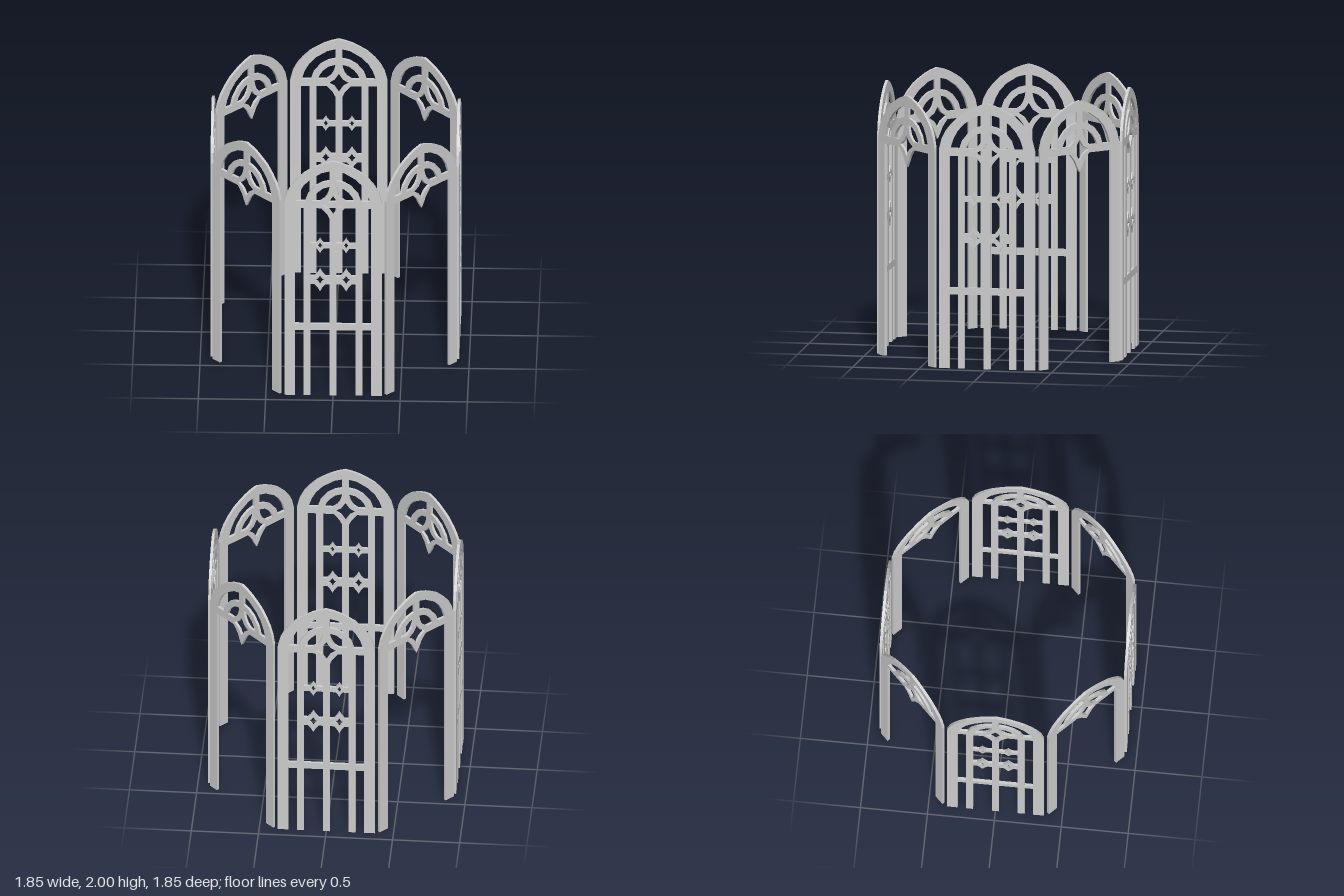
import * as THREE from 'three';

const THICK = 0.021, APOTHEM = 0.914;
const vec = pts => pts.map(([x, y]) => new THREE.Vector2(x, y));
const flip = pts => pts.map(([x, y]) => [-x, y]);

// Right half of the slightly pointed outer arch, apex to springing
const ARCH = [[0, 2], [0.055, 1.985], [0.106, 1.965], [0.165, 1.932], [0.215, 1.9], [0.27, 1.845], [0.312, 1.79], [0.342, 1.73], [0.362, 1.65]];
// Lower curve of the large star, bar to tip
const STAR_LOW = [[0.088, 1.6], [0.062, 1.57], [0.042, 1.544], [0.026, 1.508]];

// Tracery openings right of the centre line
const ARCH_GAP = [[0.025, 1.916], [0.085, 1.9], [0.17, 1.845], [0.22, 1.79], [0.253, 1.73], [0.275, 1.66],
  [0.207, 1.66], [0.187, 1.72], [0.135, 1.785], [0.08, 1.82], [0.025, 1.834]];
const STAR_GAP = [[0.095, 1.66], [0.064, 1.683], [0.045, 1.71], [0.032, 1.745], [0.025, 1.783],
  [0.075, 1.768], [0.115, 1.735], [0.14, 1.7], [0.157, 1.66]];

// Four-pointed star outline with concave sides
function star(cx, cy, r) {
  const pts = [];
  for (let i = 0; i < 8; i++) {
    const a = i * Math.PI / 4, d = i % 2 ? r * 0.55 : r;
    pts.push([cx + d * Math.cos(a), cy + d * Math.sin(a)]);
  }
  return pts;
}

// Panel from the right half of its outline (apex to bottom centre), mirrored;
// the outline runs counter-clockwise so that all edge walls face outwards
function panelGeometry(half, holes, centreHoles) {
  const left = flip(half).filter(p => p[0] !== 0);
  const shape = new THREE.Shape(vec([...left, ...half.slice().reverse()]));
  for (const h of holes) shape.holes.push(new THREE.Path(vec(h)), new THREE.Path(vec(flip(h))));
  for (const h of centreHoles) shape.holes.push(new THREE.Path(vec(h)));
  const geo = new THREE.ExtrudeGeometry(shape, { depth: THICK, bevelEnabled: false });
  return geo.translate(0, 0, -THICK / 2);
}

// Open archway with a hanging star
function archwayGeometry() {
  const half = [...ARCH, [0.362, 0], [0.282, 0], [0.282, 1.6], ...STAR_LOW, [0, 1.46]];
  return panelGeometry(half, [ARCH_GAP, STAR_GAP], [star(0, 1.625, 0.08)]);
}

// Window screen with mullions, crossbars and small stars
function screenGeometry() {
  const IN = 0.026, OUT = 0.167, rail = 0.557;
  const half = [...ARCH, [0.362, 0], [0.282, 0], [0.282, rail], [0.219, rail], [0.219, 0],
    [OUT, 0], [OUT, rail], [IN, rail], [IN, 0]];
  const cx = 0.097;
  const bars = [ // centre height, half bar height, star reach, half width at the bar, hole
    { y: 0.984, h: 0.035, r: 0.094, w: 0.04, hole: 0.038 },
    { y: 1.278, h: 0.022, r: 0.062, w: 0.026, hole: 0.027 },
  ];
  // Spike of a small star on one edge of its bar, outer side to inner side
  const spike = (b, s) => [[OUT, b.y + s * b.h], [cx + b.w, b.y + s * b.h],
    [cx + b.w * 0.45, b.y + s * (b.h + (b.r - b.h) * 0.45)], [cx, b.y + s * b.r],
    [cx - b.w * 0.45, b.y + s * (b.h + (b.r - b.h) * 0.45)], [cx - b.w, b.y + s * b.h], [IN, b.y + s * b.h]];
  const [low, high] = bars;
  const holes = [
    ARCH_GAP, STAR_GAP,
    [[0.219, 0.61], [0.282, 0.61], [0.282, 1.6], [0.219, 1.6]],
    [[IN, 0.61], [OUT, 0.61], ...spike(low, -1)],
    [...spike(low, 1), ...spike(high, -1).reverse()],
    [...spike(high, 1), ...STAR_LOW.slice().reverse(), [OUT, 1.6]],
    ...bars.map(b => star(cx, b.y, b.hole)),
  ];
  return panelGeometry(half, holes, [star(0, 1.625, 0.08)]);
}

export function createModel() {
  const model = new THREE.Group();
  model.name = 'octagonalPavilion';
  const material = new THREE.MeshStandardMaterial({ color: 0xcccccc });
  const screen = screenGeometry(), archway = archwayGeometry();
  // Screens on the main sides, open archways on the diagonals
  for (let i = 0; i < 8; i++) {
    const a = i * Math.PI / 4, open = i % 2 === 1;
    const panel = new THREE.Mesh(open ? archway : screen, material);
    panel.name = (open ? 'openArchway' : 'windowScreen') + (Math.floor(i / 2) + 1);
    panel.position.set(Math.sin(a) * APOTHEM, 0, Math.cos(a) * APOTHEM);
    panel.rotation.y = a;
    model.add(panel);
  }
  return model;
}
